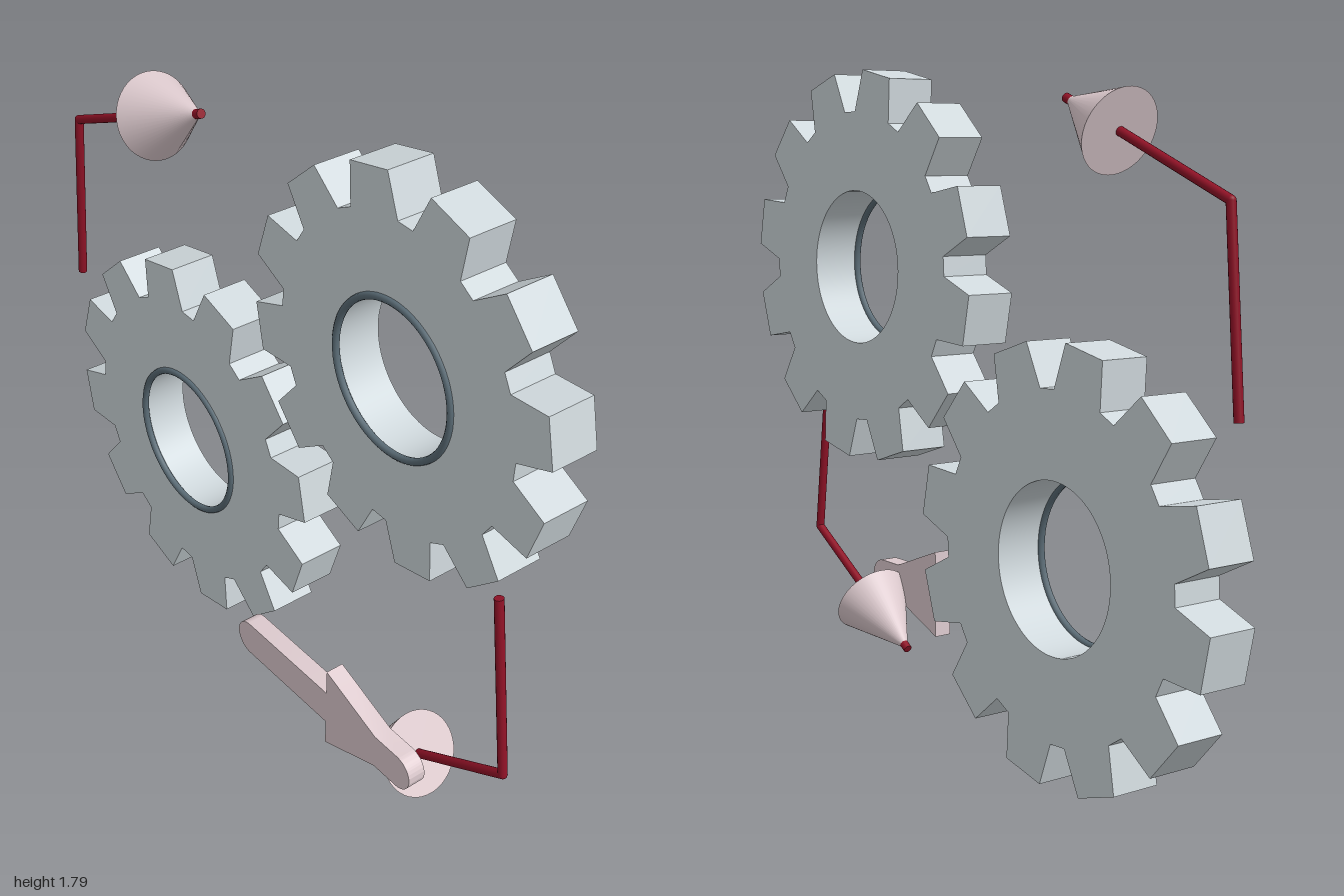
import * as THREE from 'three';
import { toCreasedNormals } from 'three/addons/utils/BufferGeometryUtils.js';

const paint = (color) => new THREE.MeshStandardMaterial({ color });
const steel = paint(0xcfd8dc);
const darkSteel = paint(0x5a6b75);
const pink = paint(0xdfccd0);
const red = paint(0x8f1226);

const GEAR_BACK = -0.16, GEAR_FRONT = -0.023, CORD_Z = 0.037;

function mesh(name, geometry, material) {
  const m = new THREE.Mesh(geometry, material);
  m.name = name;
  return m;
}

function extrude(shape, depth) {
  const g = new THREE.ExtrudeGeometry(shape, { depth, bevelEnabled: false, curveSegments: 48 });
  return toCreasedNormals(g, 0.5);
}

// Twelve-toothed wheel with a bore and a dark rim round the bore
function gear(name, x, y, radius) {
  const group = new THREE.Group();
  group.name = name;
  const teeth = 12, root = radius * 0.791, bore = radius * 0.391;
  const points = [];
  for (let i = 0; i < teeth; i++) {
    const mid = 12 + (i * 360) / teeth;
    for (const [offset, r] of [[-11.5, root], [-7.2, radius], [7.2, radius], [11.5, root]]) {
      const a = THREE.MathUtils.degToRad(mid + offset);
      points.push(new THREE.Vector2(r * Math.cos(a), r * Math.sin(a)));
    }
  }
  const shape = new THREE.Shape(points);
  shape.holes.push(new THREE.Path().absarc(0, 0, bore, 0, Math.PI * 2, true));
  const wheel = mesh('toothedWheel', extrude(shape, GEAR_FRONT - GEAR_BACK), steel);
  wheel.position.z = GEAR_BACK;
  const rim = mesh('boreRim', new THREE.TorusGeometry(bore, 0.01, 10, 64), darkSteel);
  rim.position.z = GEAR_FRONT;
  group.add(wheel, rim);
  group.position.set(x, y, 0);
  return group;
}

// Turns a +y geometry so that it runs from a to b
function span(m, a, b) {
  m.position.copy(a).lerp(b, 0.5);
  m.quaternion.setFromUnitVectors(new THREE.Vector3(0, 1, 0), b.clone().sub(a).normalize());
  return m;
}

// Bent rod ending in a cone
function bentArrow(name, path) {
  const group = new THREE.Group();
  group.name = name;
  const r = 0.0125, height = 0.226;
  const pts = path.map(([x, y]) => new THREE.Vector3(x, y, CORD_Z));
  for (let i = 0; i < pts.length - 1; i++) {
    const length = pts[i].distanceTo(pts[i + 1]);
    group.add(span(mesh('rod', new THREE.CylinderGeometry(r, r, length, 16), red), pts[i], pts[i + 1]));
  }
  const elbow = mesh('elbow', new THREE.SphereGeometry(r, 16, 12), red);
  elbow.position.copy(pts[1]);
  const tip = pts[2];
  const base = tip.clone().add(pts[1].clone().sub(tip).setLength(height));
  const cone = mesh('arrowCone', new THREE.ConeGeometry(0.115, height, 48), pink);
  group.add(elbow, span(cone, base, tip));
  return group;
}

// Flat arrow: a round-ended bar with a triangular head
function flatArrow() {
  const r = 0.052, left = 0.057, right = 0.784, headX = 0.447, headY = 0.128;
  const meet = headX + (right - headX) * (1 - r / headY);
  const s = new THREE.Shape();
  s.moveTo(headX, -r);
  s.lineTo(headX, -headY);
  s.lineTo(meet, -r);
  s.lineTo(right - r, -r);
  s.absarc(right - r, 0, r, -Math.PI / 2, Math.PI / 2, false);
  s.lineTo(meet, r);
  s.lineTo(headX, headY);
  s.lineTo(headX, r);
  s.lineTo(left + r, r);
  s.absarc(left + r, 0, r, Math.PI / 2, Math.PI * 1.5, false);
  const arrow = mesh('flatArrow', extrude(s, 0.052), pink);
  arrow.position.set(0, 0.277, 0.106);
  return arrow;
}

export function createModel() {
  const model = new THREE.Group();
  model.name = 'gearPairWithArrows';
  model.add(
    gear('lowerGear', -0.441, 0.56, 0.561),
    gear('upperGear', 0.443, 1.253, 0.541),
    bentArrow('upperBentArrow', [[-0.875, 0.956], [-0.836, 1.46], [-0.24, 1.704]]),
    bentArrow('lowerBentArrow', [[0.917, 0.924], [0.986, 0.402], [0.492, 0.113]]),
    flatArrow(),
  );
  return model;
}
